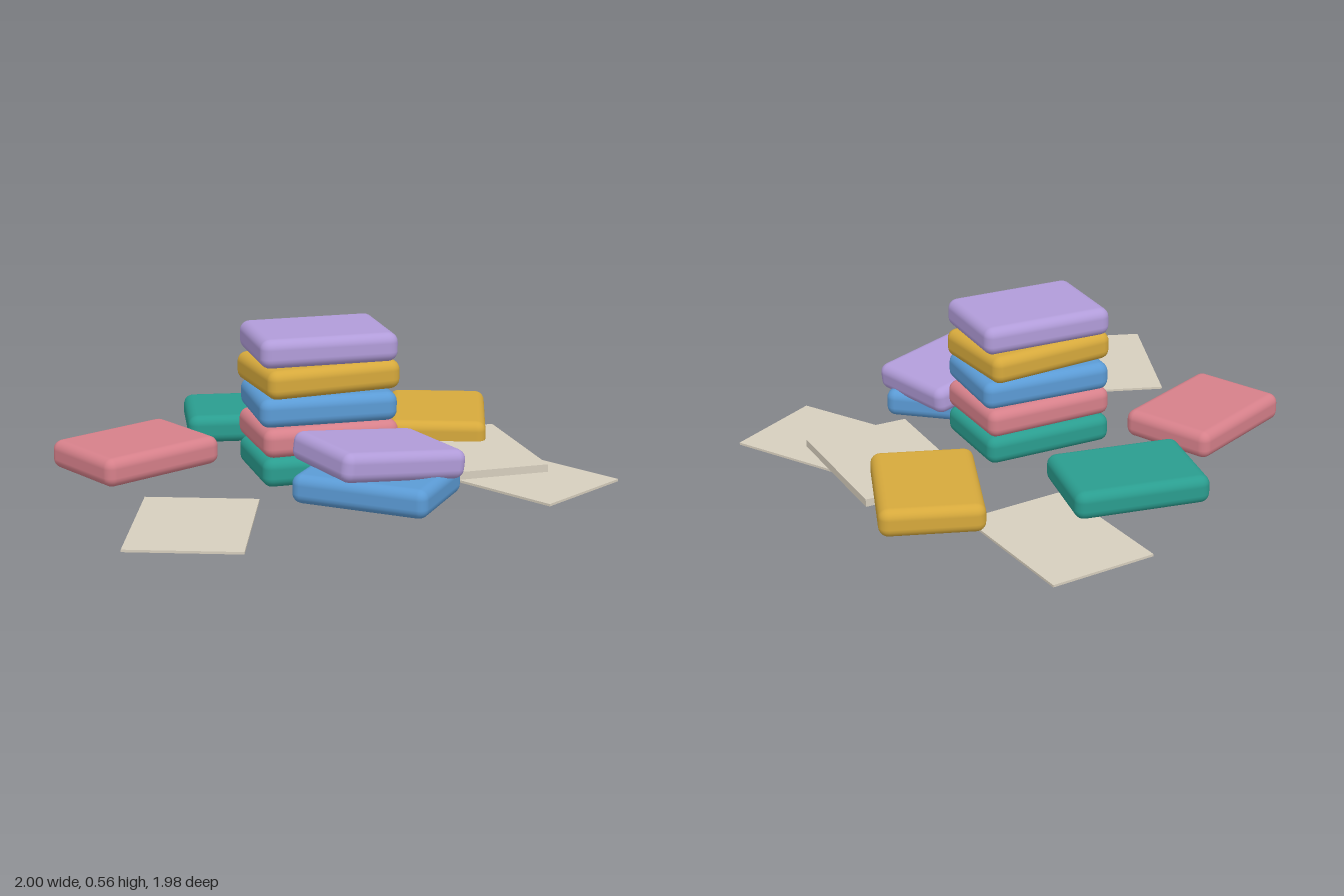
import * as THREE from 'three';
import { RoundedBoxGeometry } from 'three/addons/geometries/RoundedBoxGeometry.js';

export function createModel() {
  const group = new THREE.Group();
  group.name = 'cushionPile';

  const material = (name, color) => {
    const m = new THREE.MeshStandardMaterial({ color });
    m.name = name;
    return m;
  };
  const teal = material('teal', 0x2a9d8f);
  const pink = material('pink', 0xd6808a);
  const blue = material('blue', 0x5b9bd5);
  const gold = material('gold', 0xd6a93c);
  const lilac = material('lilac', 0xb19cd9);
  const beige = material('beige', 0xd6cebd);

  const cushionGeometry = new RoundedBoxGeometry(0.525, 0.11, 0.39, 3, 0.038);

  const place = (name, geometry, mat, [x, y, z], turn, tilt = 0) => {
    const mesh = new THREE.Mesh(geometry, mat);
    mesh.name = name;
    mesh.position.set(x, y, z);
    mesh.rotation.set(0, THREE.MathUtils.degToRad(turn), THREE.MathUtils.degToRad(tilt));
    group.add(mesh);
  };

  // Central stack, bottom to top, each cushion turned a little
  [[teal, 0], [pink, 1], [blue, -2.5], [gold, 5], [lilac, -1.5]].forEach(([mat, turn], i) => {
    place(`stackCushion${i + 1}`, cushionGeometry, mat, [-0.043, 0.06 + i * 0.1125, 0.13], turn);
  });

  // Loose cushions on the floor, and one leaning on another
  place('pinkFloorCushion', cushionGeometry, pink, [-0.695, 0.06, -0.118], 24);
  place('tealFloorCushion', cushionGeometry, teal, [-0.145, 0.06, -0.48], -10);
  place('goldFloorCushion', cushionGeometry, gold, [0.565, 0.06, -0.238], 70);
  place('blueFloorCushion', cushionGeometry, blue, [0.06, 0.06, 0.533], -40);
  place('leaningCushion', cushionGeometry, lilac, [0.067, 0.17, 0.535], 14.5, -7);

  // Flat mats
  const matGeometry = new THREE.BoxGeometry(0.42, 0.009, 0.585);
  place('backMat', matGeometry, beige, [0.257, 0.0045, -0.687], 5);
  place('rightMat', matGeometry, beige, [-0.652, 0.0045, 0.636], -20);
  place('leftMat', matGeometry, beige, [0.668, 0.0045, 0.433], 30);

  // Thicker mat lying over the left one
  place('thickMat', new THREE.BoxGeometry(0.42, 0.03, 0.585), beige, [0.567, 0.025, 0.133], 0);

  return group;
}
